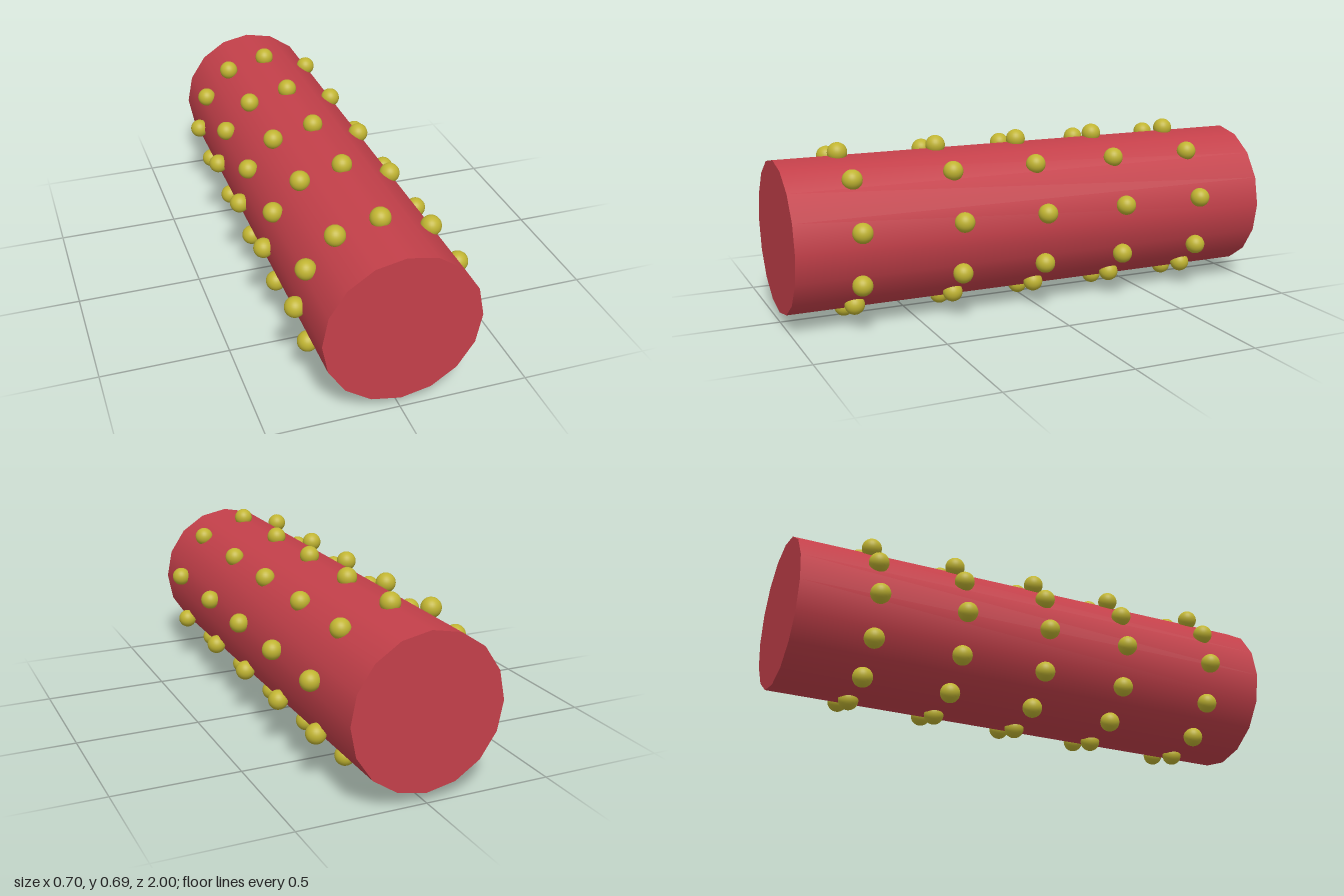
import * as THREE from 'three';

export function createModel() {
  const model = new THREE.Group();
  model.name = 'studdedRoller';
  const red = new THREE.MeshStandardMaterial({ color: 0xc4404a });
  const yellow = new THREE.MeshStandardMaterial({ color: 0xc0b432 });

  // Sixteen-sided roller lying along z
  const roller = new THREE.Mesh(new THREE.CylinderGeometry(0.299, 0.299, 2, 16), red);
  roller.name = 'roller';
  roller.rotation.x = Math.PI / 2;
  roller.position.set(0.002, 0.34, 0);
  model.add(roller);

  // One uneven ring of studs, as [x, y] centres, repeated along the roller
  const ring = [
    [0.001, 0.65], [0.196, 0.579], [0.312, 0.402], [0.289, 0.196],
    [0.173, 0.09], [0.021, 0.04], [-0.149, 0.067], [-0.267, 0.176],
    [-0.314, 0.339], [-0.273, 0.491], [-0.166, 0.609],
  ];
  const studGeometry = new THREE.SphereGeometry(0.039, 32, 16);
  [0.75, 0.35, 0, -0.35, -0.7].forEach((z, i) => {
    const studs = new THREE.Group();
    studs.name = `studRing${i + 1}`;
    studs.position.z = z;
    for (const [x, y] of ring) {
      const stud = new THREE.Mesh(studGeometry, yellow);
      stud.name = 'stud';
      stud.position.set(x, y, 0);
      studs.add(stud);
    }
    model.add(studs);
  });
  return model;
}
